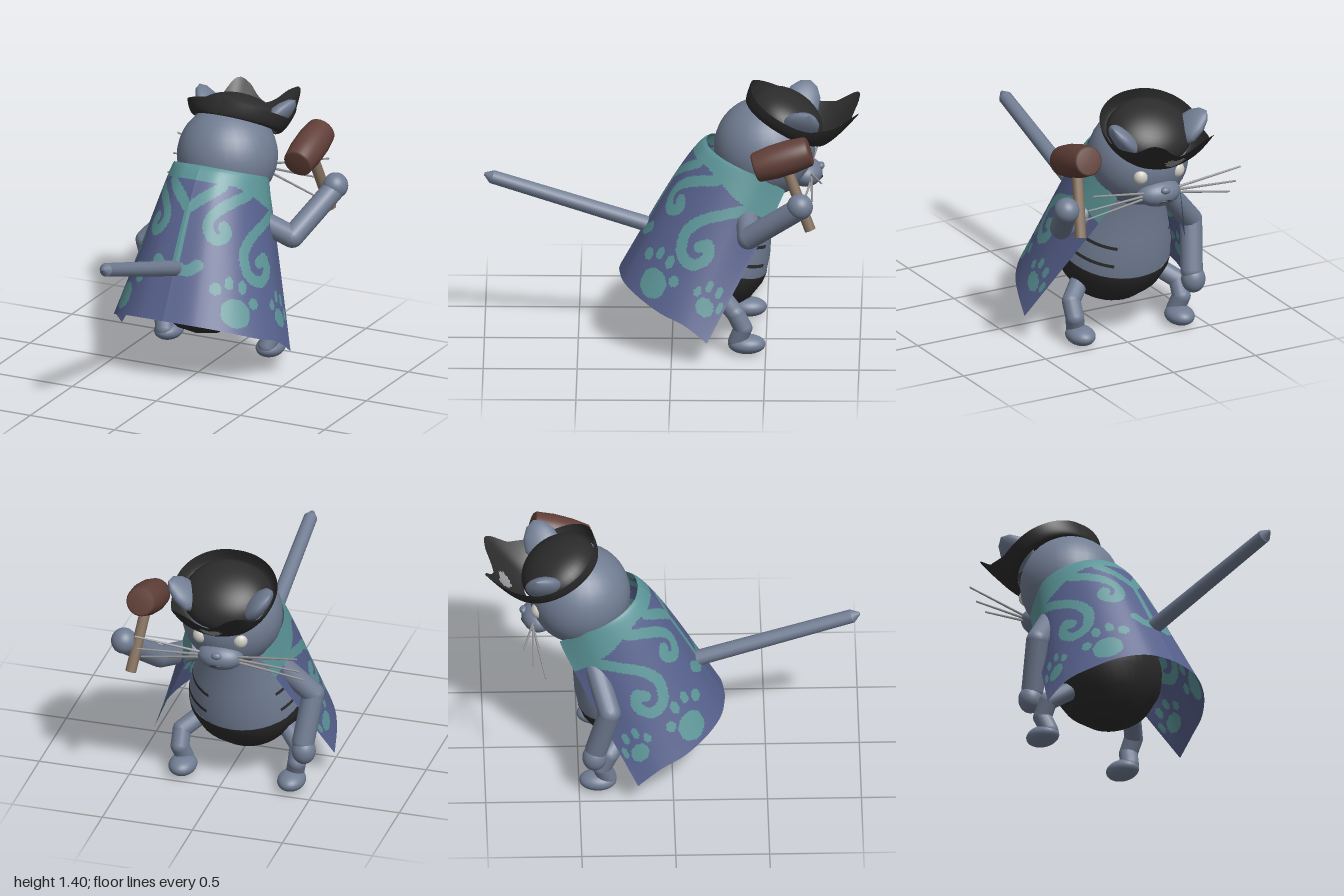
import * as THREE from 'three';

const V = (x, y, z) => new THREE.Vector3(x, y, z);
const mat = (name, color, side = THREE.FrontSide) => {
  const m = new THREE.MeshStandardMaterial({ color, side });
  m.name = name;
  return m;
};

// Smooth lookup in a list of [key, value, ...] rows
function lookup(rows, k) {
  let i = 0;
  while (i < rows.length - 2 && k > rows[i + 1][0]) i++;
  const a = rows[i], b = rows[i + 1], o = rows[i - 1] ?? a, c = rows[i + 2] ?? b;
  const t = (k - a[0]) / (b[0] - a[0]), t2 = t * t, t3 = t2 * t;
  return a.map((p, j) => p * (2 * t3 - 3 * t2 + 1) + b[j] * (3 * t2 - 2 * t3)
    + (b[j] - o[j]) / 2 * (t3 - 2 * t2 + t) + (c[j] - p) / 2 * (t3 - t2)).slice(1);
}

// Grid surface; pick(u, v) chooses the material index of each cell
function gridSurface(nu, nv, point, pick) {
  const pos = [], lists = [[], []];
  for (let j = 0; j <= nv; j++)
    for (let i = 0; i <= nu; i++) pos.push(...point(i / nu, j / nv));
  for (let j = 0; j < nv; j++)
    for (let i = 0; i < nu; i++) {
      const a = j * (nu + 1) + i, c = a + nu + 1;
      lists[pick((i + 0.5) / nu, (j + 0.5) / nv)].push(a, c, a + 1, a + 1, c, c + 1);
    }
  const g = new THREE.BufferGeometry();
  g.setAttribute('position', new THREE.Float32BufferAttribute(pos, 3));
  g.setIndex(lists.flat());
  let start = 0;
  lists.forEach((l, k) => { g.addGroup(start, l.length, k); start += l.length; });
  g.computeVertexNormals();
  return g;
}

// Cape rims from the middle of the back (0) to the front edge (1): x, y, z
const capeTop = [[0, 0, 1.1, -0.18], [0.2, 0.11, 1.09, -0.2], [0.4, 0.2, 1.06, -0.27],
  [0.6, 0.25, 1.02, -0.37], [0.8, 0.25, 0.97, -0.48], [1, 0.19, 0.88, -0.6]];
const capeHem = [[0, 0, 0.37, 0.285], [0.2, 0.18, 0.36, 0.26], [0.4, 0.33, 0.325, 0.18],
  [0.6, 0.44, 0.27, 0.06], [0.8, 0.5, 0.22, -0.07], [1, 0.525, 0.13, -0.19]];

function capePoint(s, v) {
  const u = s * 2 - 1, a = Math.abs(u);
  const t = lookup(capeTop, a), b = lookup(capeHem, a);
  const hemX = b[0] * (u < 0 ? 0.91 : 1); // hem swings slightly to one side
  const bulge = 0.04 * Math.sin(Math.PI * Math.sqrt(v)) * Math.cos(a * 1.8);
  return [Math.sign(u) * (t[0] + (hemX - t[0]) * v), t[1] + (b[1] - t[1]) * v, t[2] + (b[2] - t[2]) * v + bulge];
}

// Cape decoration in (side, height) coordinates: swirls, forked stem and paw prints
const strokes = [
  [[0.26, 0.09], [0.12, 0.18], [0, 0.27]],
  [[0, 0.26], [0, 0.45], [0, 0.62]],
  [[0, 0.63], [0.1, 0.655], [0.16, 0.61]],
  [[0.5, 0.12], [0.38, 0.17], [0.27, 0.23], [0.2, 0.3], [0.2, 0.38], [0.27, 0.43], [0.34, 0.38], [0.31, 0.34]],
  [[0.85, 0.2], [0.7, 0.28], [0.55, 0.38], [0.49, 0.49], [0.54, 0.62], [0.65, 0.645], [0.72, 0.57], [0.68, 0.5], [0.63, 0.53]],
].flatMap(p => new THREE.CatmullRomCurve3(p.map(([a, v]) => V(a * 0.75, v * 0.85, 0))).getPoints(45));
const spots = [ // side, height, width, length
  [0.45, 0.87, 0.105, 0.092], [0.3, 0.74, 0.04, 0.04], [0.39, 0.69, 0.034, 0.042],
  [0.49, 0.7, 0.032, 0.042], [0.58, 0.79, 0.036, 0.036],
  [0.86, 0.84, 0.06, 0.055], [0.77, 0.78, 0.026, 0.034], [0.83, 0.72, 0.024, 0.036],
  [0.9, 0.72, 0.024, 0.036], [0.95, 0.79, 0.024, 0.034]];

function capePaint(s, v) {
  const a = Math.abs(s * 2 - 1);
  if (v < 0.08 + 0.13 * THREE.MathUtils.smoothstep(a, 0.3, 0.9)) return 1;
  if (spots.some(([p, q, w, h]) => Math.hypot((a - p) / w, (v - q) / h) < 1)) return 1;
  return strokes.some(p => Math.hypot(a * 0.75 - p.x, v * 0.85 - p.y) < 0.031) ? 1 : 0;
}

export function createModel() {
  const fur = mat('greyFur', 0x717d93);
  const black = mat('blackCloth', 0x2c2c2c, THREE.DoubleSide);
  const blue = mat('blueCloth', 0x56608c, THREE.DoubleSide);
  const teal = mat('tealCloth', 0x5b9497, THREE.DoubleSide);
  const wood = mat('redWood', 0x613f38);
  const handleWood = mat('paleWood', 0x86725f);
  const grey = mat('paleGrey', 0x98989a, THREE.DoubleSide);
  const white = mat('eyeWhite', 0xcfccc4);

  const model = new THREE.Group();
  model.name = 'caped cat';
  const root = new THREE.Group();
  root.name = 'cat';
  root.position.x = -0.07;
  model.add(root);

  const add = (name, geo, material, pos = [0, 0, 0], parent = root) => {
    const m = new THREE.Mesh(geo, material);
    m.name = name;
    m.position.set(...pos);
    parent.add(m);
    return m;
  };
  const ball = (name, material, pos, size) =>
    add(name, new THREE.SphereGeometry(1, 28, 20), material, pos).scale.set(...size);
  // Places a y-aligned geometry halfway between two points
  const between = (name, material, a, b, make) => {
    const p = V(...a), q = V(...b), d = q.clone().sub(p);
    const m = add(name, make(d.length()), material, p.clone().add(q).multiplyScalar(0.5).toArray());
    m.quaternion.setFromUnitVectors(V(0, 1, 0), d.normalize());
    return m;
  };
  const limb = (name, joints, r) => joints.slice(1).forEach((b, i) =>
    between(name, fur, joints[i], b, l => new THREE.CapsuleGeometry(r, l, 6, 16)));
  const rod = (name, material, a, b, r0, r1 = r0, sides = 12) =>
    between(name, material, a, b, l => new THREE.CylinderGeometry(r1, r0, l, sides));
  const lathe = (pts, ...arc) => new THREE.LatheGeometry(pts.map(p => new THREE.Vector2(...p)), 36, ...arc);

  // Leaning body with dark trousers and side stripes
  const body = new THREE.Group();
  body.name = 'body';
  body.position.set(0, 0.43, -0.22);
  body.rotation.x = -0.35;
  body.scale.x = 1.07;
  root.add(body);
  add('trousers', lathe([[0, -0.28], [0.1, -0.262], [0.19, -0.205], [0.26, -0.11], [0.288, -0.02], [0.29, 0.03]]), black, [0, 0, 0], body);
  add('torso', lathe([[0.288, 0.03], [0.275, 0.12], [0.24, 0.24], [0.205, 0.36], [0.18, 0.48], [0.16, 0.62]]), fur, [0, 0, 0], body);
  for (const [start, length] of [[Math.PI - 1.5, 1.0], [Math.PI + 0.95, 0.65]])
    for (const [y, r] of [[0.1, 0.283], [0.2, 0.256]])
      add('bellyStripe', lathe([[r, y - 0.009], [r - 0.004, y + 0.009]], start, length), black, [0, 0, 0], body);

  // Cape, open at the front
  add('cape', gridSurface(200, 110, capePoint, capePaint), [blue, teal]);

  // Tail with a pointed tip
  rod('tail', fur, [0, 0.565, -0.04], [0, 0.883, 0.96], 0.044, 0.037);
  rod('tailTip', fur, [0, 0.883, 0.96], [0, 0.9, 1], 0.037, 0.008);

  // Head, muzzle and face
  ball('head', fur, [0, 1.06, -0.49], [0.27, 0.27, 0.27]);
  ball('muzzle', fur, [0, 0.92, -0.71], [0.125, 0.075, 0.09]);
  ball('nose', fur, [0, 0.955, -0.79], [0.028, 0.02, 0.02]);
  const mouth = new THREE.CatmullRomCurve3([V(-0.06, 0.885, -0.766), V(0, 0.895, -0.796), V(0.06, 0.885, -0.766)]);
  add('mouth', new THREE.TubeGeometry(mouth, 16, 0.006, 6), black);
  for (const s of [-1, 1]) {
    ball('eye', white, [s * 0.11, 1.03, -0.715], [0.041, 0.044, 0.037]);
    for (const [y0, y1, z1] of [[0.94, 1.01, -0.8], [0.925, 0.91, -0.75], [0.91, 0.825, -0.68]])
      rod('whisker', grey, [s * 0.1, y0, -0.74], [s * 0.45, y1, z1], 0.007, 0.005, 6);
    const ear = between('ear', fur, [s * 0.15, 1.195, -0.66], [s * 0.283, 1.335, -0.73],
      () => lathe([[0, -0.1], [0.75, -0.1], [1, -0.04], [0.85, 0.03], [0.5, 0.08], [0, 0.105]]));
    ear.scale.set(0.05, 1, 0.1);
  }

  // Hat: dome and brim turned up into two front peaks, with a pale oval patch
  const hat = new THREE.Group();
  hat.name = 'hat';
  hat.position.set(0, 1.22, -0.6);
  hat.rotation.x = -0.52;
  root.add(hat);
  const crown = add('hatCrown', new THREE.SphereGeometry(1, 36, 12, 0, Math.PI * 2, 0, Math.PI / 2), black, [0, 0, 0], hat);
  crown.scale.set(0.235, 0.145, 0.215);
  const brim = [[0, 0.31, 0.16], [10, 0.315, 0.19], [21, 0.33, 0.25], [33, 0.345, 0.265], [45, 0.315, 0.15],
    [70, 0.285, 0.07], [120, 0.28, 0.055], [180, 0.25, 0.07]]; // angle from front, radius, height
  add('hatBrim', gridSurface(144, 20, (s, v) => {
    const u = s * 2 - 1, [r1, h] = lookup(brim, Math.abs(u) * 180);
    const r = 0.225 + (r1 - 0.225) * Math.pow(v, 0.65);
    return [r * Math.sin(u * Math.PI), -0.02 + (h + 0.02) * Math.pow(v, 1.4), -r * Math.cos(u * Math.PI)];
  }, (s, v) => Math.hypot((s - 0.5) / 0.032, (v - 0.62) / 0.2) < 1 ? 1 : 0), [black, grey], [0, 0, 0], hat);

  // Legs and feet
  for (const s of [-1, 1]) {
    limb('leg', [[s * 0.23, 0.3, -0.26], [s * 0.325, 0.23, -0.34], [s * 0.325, 0.15, -0.38], [s * 0.305, 0.07, -0.35]], 0.05);
    ball('foot', fur, [s * 0.302, 0.052, -0.4], [0.075, 0.052, 0.1]);
  }

  // Arms: one raised, one hanging
  limb('leftArm', [[0.24, 0.755, -0.4], [0.425, 0.69, -0.41], [0.54, 0.89, -0.67]], 0.06);
  ball('leftHand', fur, [0.545, 0.91, -0.685], [0.068, 0.07, 0.07]);
  limb('rightArm', [[-0.22, 0.77, -0.42], [-0.405, 0.56, -0.34], [-0.37, 0.3, -0.41]], 0.06);
  ball('rightHand', fur, [-0.375, 0.25, -0.42], [0.065, 0.075, 0.065]);

  // Mallet
  rod('malletHandle', handleWood, [0.49, 0.76, -0.74], [0.44, 1.1, -0.61], 0.03);
  between('malletHead', wood, [0.437, 1.09, -0.44], [0.437, 1.19, -0.74],
    () => lathe([[0, -0.155], [0.07, -0.155], [0.08, -0.145], [0.091, -0.05], [0.091, 0.05], [0.08, 0.145], [0.07, 0.155], [0, 0.155]]));

  return model;
}
